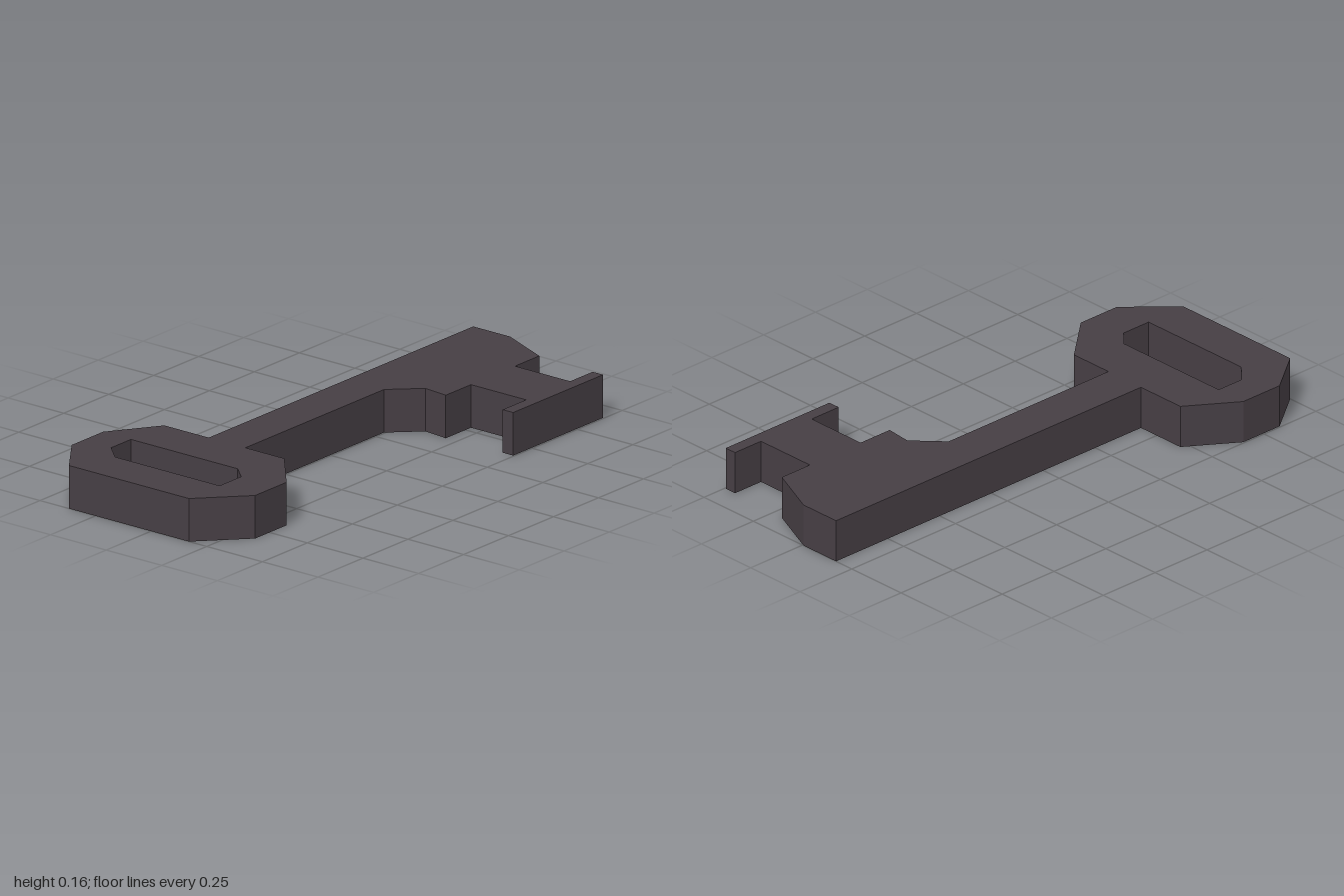
import * as THREE from 'three';

const THICKNESS = 0.16;

// Turns [x, z] outlines into a flat plate standing on y = 0
function plate(name, material, outline, hole) {
  const toPoints = (list) => list.map(([x, z]) => new THREE.Vector2(x, z));
  const shape = new THREE.Shape(toPoints(outline));
  if (hole) shape.holes.push(new THREE.Path(toPoints(hole)));
  const geometry = new THREE.ExtrudeGeometry(shape, { depth: THICKNESS, bevelEnabled: false });
  geometry.rotateX(Math.PI / 2);
  geometry.translate(0, THICKNESS, 0);
  const mesh = new THREE.Mesh(geometry, material);
  mesh.name = name;
  return mesh;
}

const rectangle = (x0, x1, z0, z1) => [[x0, z0], [x1, z0], [x1, z1], [x0, z1]];

export function createModel() {
  const iron = new THREE.MeshStandardMaterial({ color: 0x463e44 });
  iron.name = 'dark iron';

  const key = new THREE.Group();
  key.name = 'key';

  // Eight-sided handle with a slot that has two clipped corners
  key.add(plate('bow', iron,
    [[-0.37, 0.47], [0.17, 0.47], [0.33, 0.655], [0.33, 0.83],
      [0.17, 1], [-0.37, 1], [-0.495, 0.83], [-0.495, 0.655]],
    [[-0.37, 0.655], [0.11, 0.655], [0.17, 0.71], [0.17, 0.83],
      [-0.3, 0.83], [-0.37, 0.765]]));

  // Straight shank widening into the blade
  key.add(plate('shankAndBlade', iron,
    [[-0.17, -1], [-0.005, -1], [0.2, -0.91], [0.2, -0.39],
      [0.1, -0.4], [-0.005, -0.3], [-0.005, 0.47], [-0.17, 0.47]]));

  // T-shaped bit
  key.add(plate('bitStem', iron, rectangle(0.2, 0.448, -0.775, -0.53)));
  key.add(plate('bitEnd', iron, rectangle(0.448, 0.495, -0.9, -0.4)));

  return key;
}
